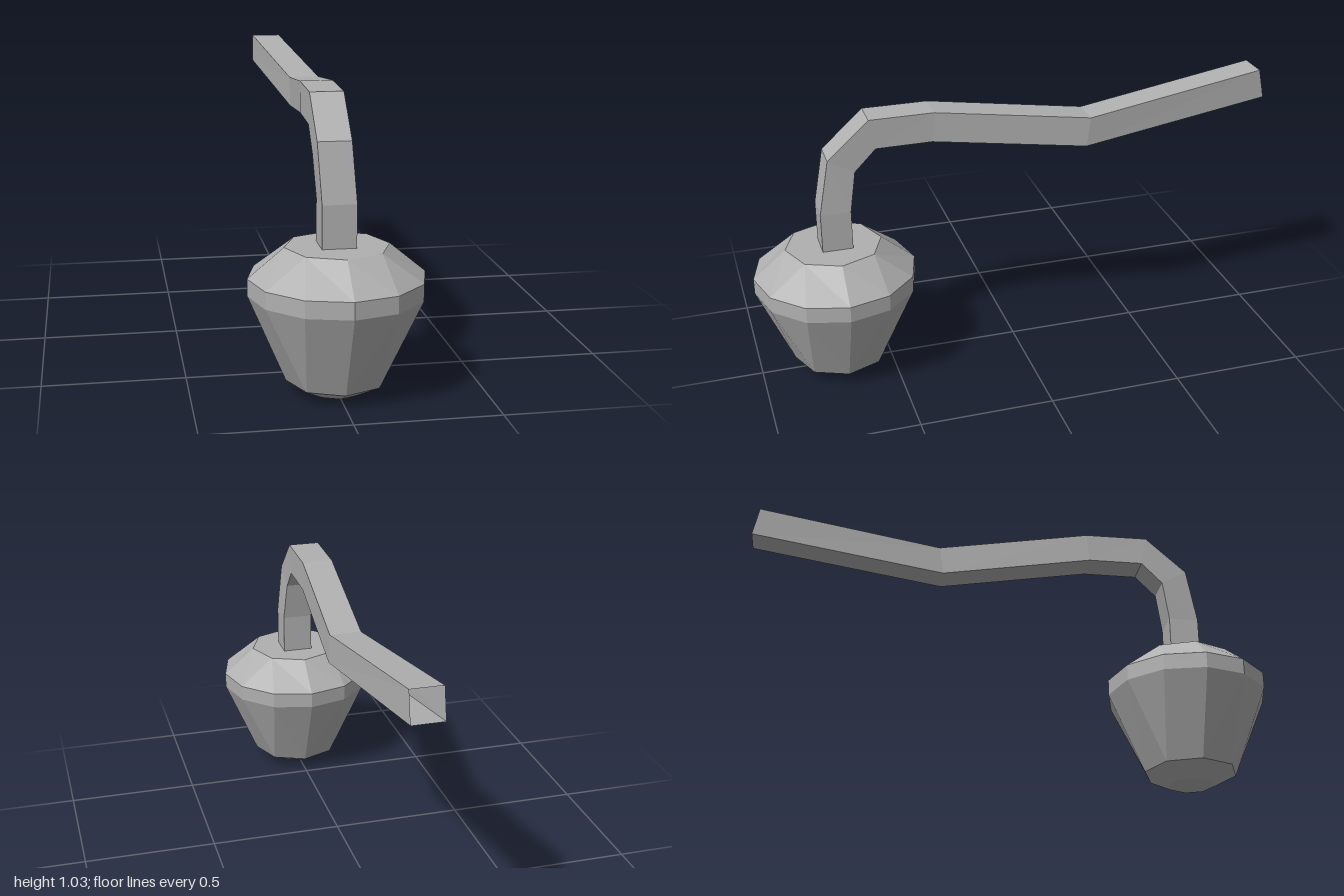
import * as THREE from 'three';

const grey = new THREE.MeshStandardMaterial({ color: 0xb0b0b0, flatShading: true, side: THREE.DoubleSide });
grey.name = 'grey';

// Flat-faced mesh from a list of triangles, each made of three [x, y, z] points
function facetMesh(name, triangles) {
  const geometry = new THREE.BufferGeometry();
  geometry.setAttribute('position', new THREE.Float32BufferAttribute(triangles.flat(2), 3));
  geometry.computeVertexNormals();
  const mesh = new THREE.Mesh(geometry, grey);
  mesh.name = name;
  return mesh;
}

function ring(radius, y, sides) {
  return Array.from({ length: sides }, (_, i) => {
    const a = (i / sides) * Math.PI * 2;
    return [radius * Math.sin(a), y, radius * Math.cos(a)];
  });
}

// Joins two rings, even with different side counts, always advancing the ring that lags behind
function stitch(lower, upper) {
  const n = lower.length, m = upper.length, out = [];
  let i = 0, j = 0;
  while (i < n || j < m) {
    const a = lower[i % n], b = upper[j % m];
    if (j >= m || (i < n && (i + 1) / n <= (j + 1) / m)) {
      out.push([a, lower[(i + 1) % n], b]);
      i++;
    } else {
      out.push([a, upper[(j + 1) % m], b]);
      j++;
    }
  }
  return out;
}

function createBulb() {
  const rings = [
    ring(0.086, 0, 8), ring(0.175, 0.047, 8),
    ring(0.304, 0.352, 12), ring(0.304, 0.412, 12), ring(0.18, 0.515, 8),
  ];
  const triangles = [];
  for (let k = 0; k < rings.length - 1; k++) triangles.push(...stitch(rings[k], rings[k + 1]));
  // Flat caps
  const bottom = rings[0], top = rings[rings.length - 1];
  for (let i = 1; i < 7; i++) {
    triangles.push([bottom[0], bottom[i + 1], bottom[i]], [top[0], top[i], top[i + 1]]);
  }
  const bulb = facetMesh('bulb', triangles);
  bulb.position.z = 0.696;
  return bulb;
}

function createStem() {
  // Each section: left x, right x, outer [y, z], inner [y, z]
  const sections = [
    [-0.06, 0.058, [0.51, 0.745], [0.51, 0.632]],
    [-0.06, 0.058, [0.665, 0.745], [0.665, 0.632]],
    [-0.07, 0.047, [0.87, 0.705], [0.815, 0.608]],
    [-0.07, 0.048, [1.01, 0.55], [0.897, 0.528]],
    [-0.064, 0.053, [1.012, 0.31], [0.9, 0.32]],
    [-0.012, 0.103, [0.94, -0.27], [0.828, -0.255]],
    [-0.07, 0.046, [1.027, -0.975], [0.915, -0.998]],
  ].map(([l, r, o, n]) => [[l, ...o], [r, ...o], [r, ...n], [l, ...n]]);
  // Square tube, open at the far end
  const triangles = [];
  for (let k = 0; k < sections.length - 1; k++) triangles.push(...stitch(sections[k], sections[k + 1]));
  return facetMesh('stem', triangles);
}

export function createModel() {
  const model = new THREE.Group();
  model.name = 'stemmedBulb';
  model.add(createBulb(), createStem());
  return model;
}
